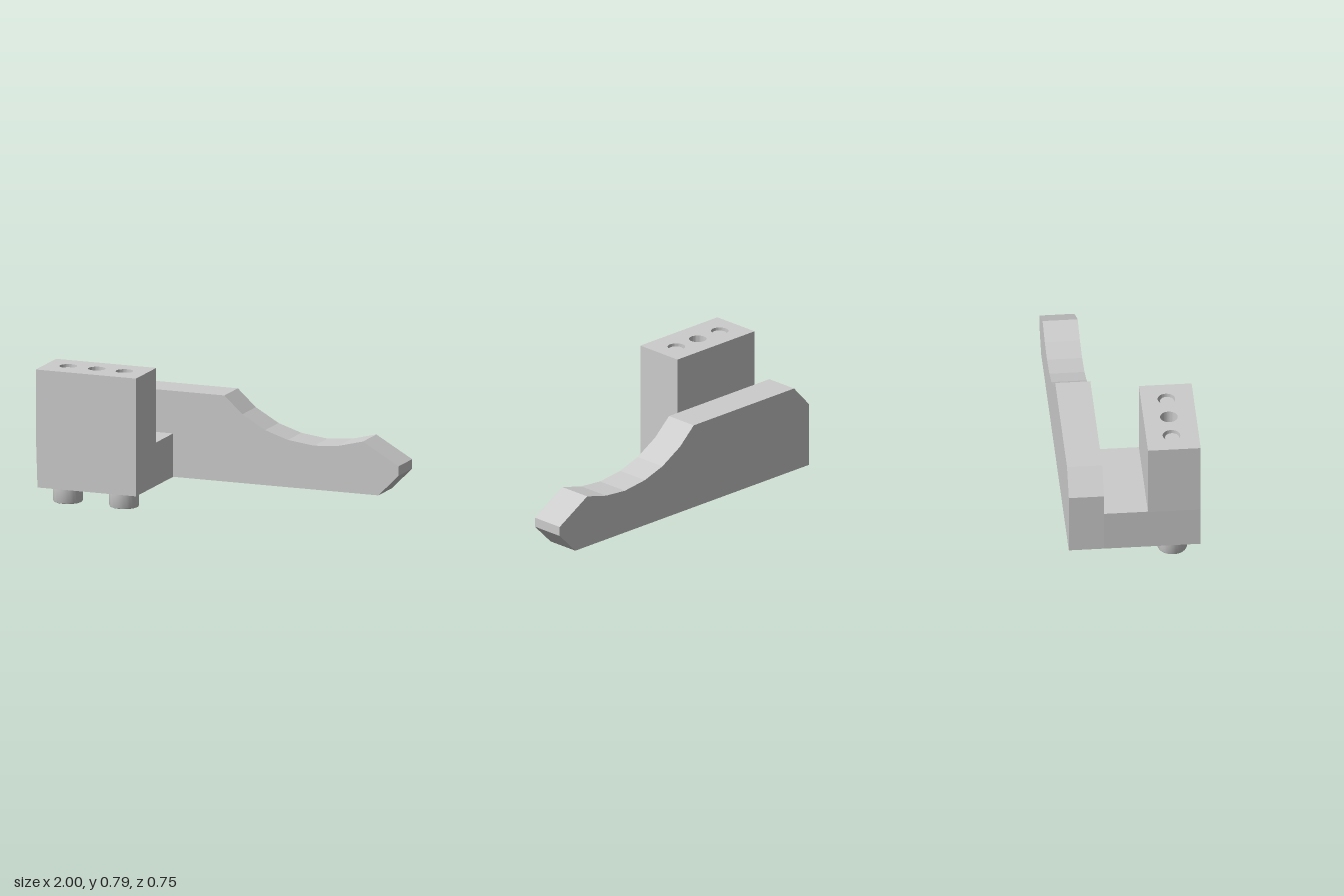
import * as THREE from 'three';
import { toCreasedNormals } from 'three/addons/utils/BufferGeometryUtils.js';

const material = new THREE.MeshStandardMaterial({ color: 0xcccccc });
const SCREW_X = [-0.865, -0.52];
const PIN_X = -0.69;
const HOLE_Z = 0.22;

function add(group, name, geometry, x = 0, y = 0, z = 0) {
  const mesh = new THREE.Mesh(geometry, material);
  mesh.name = name;
  mesh.position.set(x, y, z);
  group.add(mesh);
  return mesh;
}

const polygon = (points) => new THREE.Shape(points.map(([x, y]) => new THREE.Vector2(x, y)));

// Extrudes a plan outline (x, -z) upwards
function extrudeUp(shape, height) {
  const geometry = new THREE.ExtrudeGeometry(shape, { depth: height, bevelEnabled: false, curveSegments: 24 });
  return geometry.rotateX(-Math.PI / 2);
}

// Socket-head cap screw, head down, threaded end showing in the block's top hole
function makeScrew() {
  const screw = new THREE.Group();
  screw.name = 'capScrew';
  const rim = [[0.066, 0], [0.076, 0], [0.082, 0.003], [0.085, 0.01], [0.085, 0.1]];
  const shell = new THREE.LatheGeometry(rim.map(([r, y]) => new THREE.Vector2(r, y)), 32);
  add(screw, 'screwHead', toCreasedNormals(shell, 0.7));

  const face = new THREE.Shape().absarc(0, 0, 0.066, 0, Math.PI * 2);
  const hex = [];
  for (let i = 0; i < 6; i++) {
    const a = (i * Math.PI) / 3;
    hex.push(new THREE.Vector2(0.045 * Math.cos(a), 0.045 * Math.sin(a)));
  }
  face.holes.push(new THREE.Path(hex));
  add(screw, 'hexSocket', extrudeUp(face, 0.06));
  add(screw, 'socketFloor', new THREE.CylinderGeometry(0.06, 0.06, 0.02, 24), 0, 0.07, 0);
  add(screw, 'screwShank', new THREE.CylinderGeometry(0.04, 0.04, 0.67, 24), 0, 0.435, 0);
  return screw;
}

export function createModel() {
  const model = new THREE.Group();
  model.name = 'clampArm';

  // Long arm with a scooped top and chamfered ends
  const profile = polygon([
    [-0.99, 0.1], [0.875, 0.1], [1, 0.225], [1, 0.28], [0.78, 0.405], [0.63, 0.367], [0.48, 0.355],
    [0.32, 0.375], [0.18, 0.42], [0.04, 0.5], [-0.07, 0.6], [-0.87, 0.6], [-0.99, 0.47],
  ]);
  add(model, 'arm', new THREE.ExtrudeGeometry(profile, { depth: 0.2, bevelEnabled: false }), 0, 0, -0.375);

  // Foot joining the arm to the block, its outer end leaning in slightly towards the bottom
  const footEnd = polygon([[-0.99, 0.1], [-0.385, 0.1], [-0.385, 0.352], [-0.998, 0.352]]);
  add(model, 'foot', new THREE.ExtrudeGeometry(footEnd, { depth: 0.55, bevelEnabled: false }), 0, 0, -0.175);

  // Upright block with three holes in the top
  const plan = polygon([[-1, -0.375], [-0.385, -0.375], [-0.385, -0.075], [-1, -0.075]]);
  for (const x of [...SCREW_X, PIN_X]) {
    plan.holes.push(new THREE.Path().absarc(x, -HOLE_Z, 0.05, 0, Math.PI * 2, true));
  }
  add(model, 'block', toCreasedNormals(extrudeUp(plan, 0.435), 0.6), 0, 0.35, 0);

  // Screws fitted from below
  for (const x of SCREW_X) {
    const screw = makeScrew();
    screw.position.set(x, 0, HOLE_Z + 0.004);
    model.add(screw);
  }
  return model;
}
